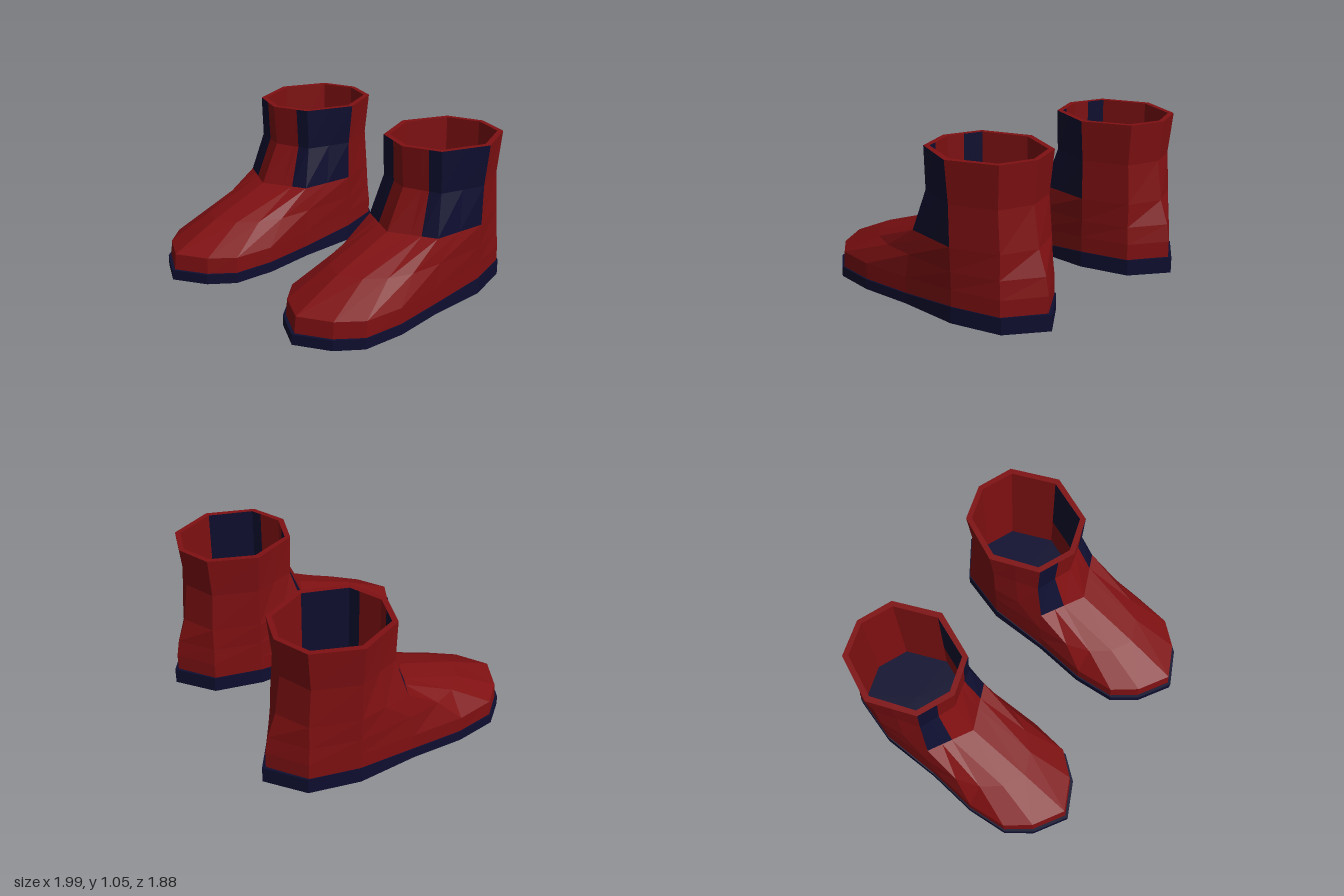
import * as THREE from 'three';

const red = new THREE.MeshStandardMaterial({ color: 0x7f1012 });
red.name = 'darkRed';
const navy = new THREE.MeshStandardMaterial({ color: 0x0e0e30 });
navy.name = 'navy';
for (const m of [red, navy]) m.flatShading = true;

// Mirror half an outline of 8 points (front to back along +x) into a closed ring of 14
function ring(half, y) {
  const height = typeof y === 'function' ? y : () => y;
  const right = half.map(([x, z]) => [x, height(z), z]);
  const left = right.slice(1, -1).reverse().map(([x, h, z]) => [-x, h, z]);
  return [...right, ...left];
}

// Shaft outline: two panel seams lie between front and corner
function shaftHalf(front, corner, side, backCorner, back) {
  const mix = (a, b, t) => [a[0] + (b[0] - a[0]) * t, a[1] + (b[1] - a[1]) * t];
  const f = [0, front];
  return [f, mix(f, corner, 0.47), mix(f, corner, 0.68), corner,
    mix(corner, side, 0.5), side, backCorner, [0, back]];
}

// Skin rings bottom to top; isNavy(level, segment) picks the second material
function loft(rings, isNavy = () => false) {
  const buckets = [[], []];
  for (let l = 0; l < rings.length - 1; l++) {
    const n = rings[l].length;
    for (let i = 0; i < n; i++) {
      const j = (i + 1) % n;
      const a = rings[l][i], b = rings[l][j], c = rings[l + 1][j], d = rings[l + 1][i];
      buckets[isNavy(l, i) ? 1 : 0].push(...a, ...b, ...c, ...a, ...c, ...d);
    }
  }
  const geo = toGeometry(buckets.flat());
  const count = buckets[0].length / 3;
  geo.addGroup(0, count, 0);
  geo.addGroup(count, buckets[1].length / 3, 1);
  return geo;
}

// Close a ring with a fan facing up or down
function cap(points, center, up) {
  const pos = [];
  points.forEach((p, i) => {
    const q = points[(i + 1) % points.length];
    pos.push(...center, ...(up ? p : q), ...(up ? q : p));
  });
  return toGeometry(pos);
}

function toGeometry(pos) {
  const geo = new THREE.BufferGeometry();
  geo.setAttribute('position', new THREE.Float32BufferAttribute(pos, 3));
  geo.computeVertexNormals();
  return geo;
}

function createBoot() {
  const boot = new THREE.Group();
  const add = (name, geo, mat) => {
    const mesh = new THREE.Mesh(geo, mat);
    mesh.name = name;
    boot.add(mesh);
  };

  // Sole with a thicker heel
  const soleHalf = [[0, 0.935], [0.225, 0.81], [0.35, 0.65], [0.377, 0.36],
    [0.345, 0], [0.345, -0.42], [0.25, -0.755], [0, -0.94]];
  const soleBottom = ring(soleHalf, 0);
  const soleTop = ring(soleHalf, z => (z < -0.1 ? 0.11 : 0.07));
  add('soleEdge', loft([soleBottom, soleTop]), [navy, navy]);
  add('soleBottom', cap(soleBottom, [0, 0, 0], false), navy);
  add('soleTop', cap(soleTop, [0, 0.07, 0], true), navy);

  // Foot, from the sole up to the ankle seam
  const welt = [[0, 0.915], [0.215, 0.795], [0.34, 0.64], [0.367, 0.36],
    [0.336, 0], [0.338, -0.42], [0.245, -0.745], [0, -0.912]];
  const toe = [[0, 0.9], [0.21, 0.785], [0.338, 0.63], [0.367, 0.36],
    [0.336, 0], [0.338, -0.42], [0.245, -0.745], [0, -0.912]];
  const instep = [[0, 0.55], [0.15, 0.48], [0.25, 0.36], [0.31, 0.2],
    [0.33, -0.03], [0.34, -0.42], [0.238, -0.735], [0, -0.89]];
  const ankle = ring(shaftHalf(0.11, [0.3, -0.04], [0.345, -0.42], [0.23, -0.73], -0.83), 0.5);
  add('foot', loft([
    ring(welt, 0.05),
    ring(toe, z => (z < -0.1 ? 0.22 : 0.18)),
    ring(instep, 0.34),
    ankle,
  ]), [red, red]);

  // Shaft: outer wall, rim and inner wall, with navy side panels
  const innerHalf = shaftHalf(-0.05, [0.225, -0.135], [0.335, -0.425], [0.215, -0.705], -0.785);
  const floorRing = ring(innerHalf, 0.2);
  const panelSegments = [2, 3, 4, 11, 12];
  add('shaft', loft([
    ankle,
    ring(shaftHalf(-0.03, [0.25, -0.115], [0.348, -0.42], [0.225, -0.71], -0.79), 0.77),
    ring(shaftHalf(-0.01, [0.25, -0.105], [0.377, -0.425], [0.24, -0.735], -0.82), 1.05),
    ring(innerHalf, 1.05),
    ring(innerHalf, 0.5),
    floorRing,
  ], (level, seg) => level !== 2 && level !== 4 && panelSegments.includes(seg)), [red, navy]);
  add('insole', cap(floorRing, [0, 0.2, -0.42], true), navy);

  return boot;
}

export function createModel() {
  const model = new THREE.Group();
  model.name = 'boots';
  for (const [name, x] of [['leftBoot', 0.62], ['rightBoot', -0.62]]) {
    const boot = createBoot();
    boot.name = name;
    boot.position.x = x;
    model.add(boot);
  }
  return model;
}
